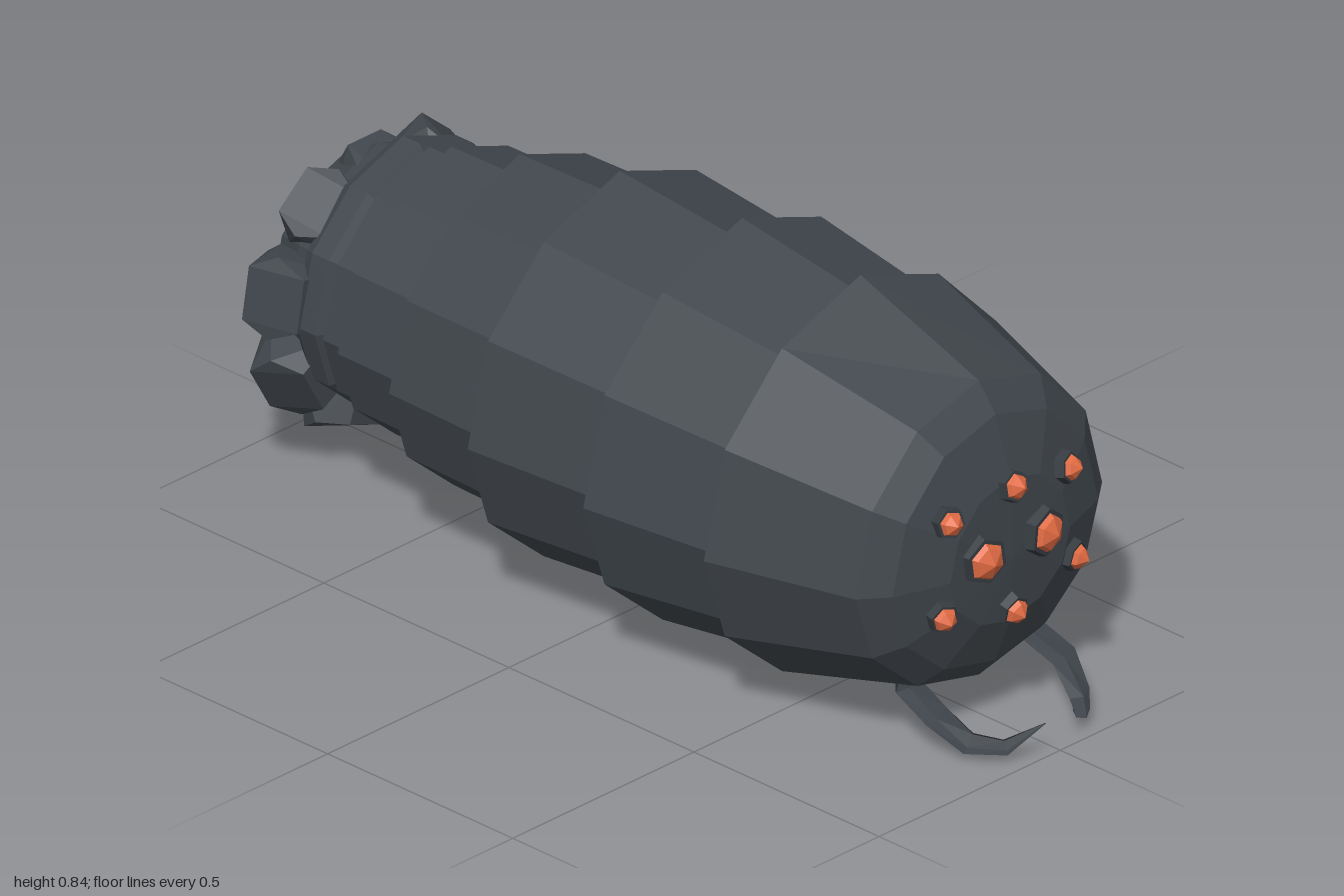
import * as THREE from 'three';
import { ConvexGeometry } from 'three/addons/geometries/ConvexGeometry.js';

const CY = 0.378; // height of the body axis

function makeMaterial(name, color) {
  const m = new THREE.MeshStandardMaterial({ color });
  m.name = name;
  return m;
}

function flat(geometry) {
  const g = geometry.index ? geometry.toNonIndexed() : geometry;
  g.computeVertexNormals();
  return g;
}

// Skin closed rings of points; each ring is an array of Vector3
function skin(rings) {
  const pos = [];
  const tri = (...pts) => pts.forEach((p) => pos.push(p.x, p.y, p.z));
  for (let i = 0; i < rings.length - 1; i++) {
    const n = rings[i].length;
    for (let k = 0; k < n; k++) {
      const j = (k + 1) % n;
      const [a, b, c, d] = [rings[i][k], rings[i + 1][k], rings[i + 1][j], rings[i][j]];
      if (b.distanceTo(c) > 1e-5) tri(a, b, c);
      if (a.distanceTo(d) > 1e-5) tri(a, c, d);
    }
  }
  const g = new THREE.BufferGeometry();
  g.setAttribute('position', new THREE.Float32BufferAttribute(pos, 3));
  g.computeVertexNormals();
  return g;
}

// Twelve-sided body section: raised back ridge, flattened belly
function bodyRing([x, r, ridge = 1.07]) {
  return Array.from({ length: 12 }, (_, k) => {
    const a = (k * Math.PI) / 6;
    const f = k === 3 ? ridge : k < 6 ? 1.025 : 0.858;
    return new THREE.Vector3(x, CY + r * Math.sin(a) * f, r * Math.cos(a));
  });
}

export function createModel() {
  const root = new THREE.Group();
  root.name = 'armouredGrub';
  const shell = makeMaterial('shell', 0x40464c);
  const socketMat = makeMaterial('socket', 0x353b40);
  const orange = makeMaterial('eyeOrange', 0xe06a42);

  const add = (name, geometry, material, parent = root) => {
    const m = new THREE.Mesh(geometry, material);
    m.name = name;
    parent.add(m);
    return m;
  };

  // Body plates, each starting with the step up from the plate behind it
  const plates = {
    tailDome: [[-1, 0], [-0.965, 0.14], [-0.92, 0.215], [-0.84, 0.255], [-0.79, 0.265]],
    rearCollar: [[-0.79, 0.255], [-0.8, 0.275], [-0.775, 0.29], [-0.73, 0.29], [-0.715, 0.27]],
    neckCollar: [[-0.715, 0.27], [-0.705, 0.292], [-0.66, 0.292], [-0.645, 0.28]],
    plateOne: [[-0.645, 0.28], [-0.645, 0.313], [-0.46, 0.315]],
    plateTwo: [[-0.46, 0.315], [-0.46, 0.361], [-0.19, 0.367]],
    plateThree: [[-0.19, 0.367], [-0.19, 0.42], [0.14, 0.392]],
    plateFour: [[0.14, 0.392], [0.14, 0.438], [0.46, 0.395]],
    headPlate: [[0.46, 0.395], [0.46, 0.432], [0.78, 0.34, 1.03]],
    face: [[0.78, 0.34, 1.03], [0.825, 0.284, 1.03], [0.865, 0.165, 1.03], [0.873, 0]],
  };
  for (const [name, profile] of Object.entries(plates)) {
    add(name, skin(profile.map(bodyRing)), shell);
  }

  // Nine stubby lobes around the tail, growing towards the belly
  const lobe = [ // x, radius, half width
    [-0.77, 0.29, 0.055], [-0.77, 0.2, 0.055], [-0.83, 0.305, 0.085], [-0.88, 0.33, 0.055],
    [-0.93, 0.225, 0.05], [-0.88, 0.245, 0.085], [-0.85, 0.18, 0.05],
  ];
  for (let i = 0; i < 9; i++) {
    const a = Math.PI / 2 + (i * Math.PI * 2) / 9;
    const up = Math.sin(a);
    const s = up > 0.9 ? 0.83 : up > 0.5 ? 0.93 : 1.01;
    const points = [];
    for (const [x, r, w] of lobe) {
      for (const side of [-1, 1]) {
        const t = side * w * s;
        points.push(new THREE.Vector3(
          x,
          CY - 0.005 + r * s * up + t * Math.cos(a),
          r * s * Math.cos(a) - t * up,
        ));
      }
    }
    add('tailLobe', flat(new ConvexGeometry(points)), shell);
  }

  // Eyes: a hexagonal socket with a faceted orange lens
  const eye = (y, z, r, x) => {
    const g = new THREE.Group();
    g.name = 'eye';
    g.position.set(x, y, z);
    const out = new THREE.Vector3(1, (y - 0.4) * 1.6, z * 1.6).normalize();
    g.quaternion.setFromUnitVectors(new THREE.Vector3(0, 1, 0), out);
    const hex = (top, bottom, h, base) =>
      flat(new THREE.CylinderGeometry(top, bottom, h, 6).rotateY(Math.PI / 6).translate(0, base + h / 2, 0));
    add('eyeSocket', hex(r * 0.86, r, 0.032, -0.015), socketMat, g);
    add('eyeLensBase', hex(r * 0.58, r * 0.74, 0.013, 0.014), orange, g);
    add('eyeLensTip', flat(new THREE.ConeGeometry(r * 0.58, 0.016, 6).rotateY(Math.PI / 6).translate(0, 0.035, 0)), orange, g);
    root.add(g);
  };
  eye(0.53, 0, 0.038, 0.864);
  eye(0.265, 0, 0.038, 0.864);
  for (const s of [-1, 1]) {
    eye(0.403, s * 0.082, 0.058, 0.869);
    eye(0.506, s * 0.161, 0.037, 0.852);
    eye(0.31, s * 0.178, 0.037, 0.852);
  }

  // Curved mandibles under the face: x, y, z, half thickness
  const spine = [
    [0.73, 0.125, 0.165, 0.001], [0.745, 0.12, 0.168, 0.028], [0.835, 0.085, 0.175, 0.028],
    [0.9, 0.038, 0.15, 0.024], [0.955, 0.032, 0.105, 0.017], [0.998, 0.075, 0.038, 0.001],
  ];
  for (const s of [1, -1]) {
    const centres = spine.map(([x, y, z]) => new THREE.Vector3(x, y, z * s));
    const rings = spine.map(([, , , r], i) => {
      const dir = centres[Math.min(i + 1, 5)].clone().sub(centres[Math.max(i - 1, 0)]).normalize();
      const u = new THREE.Vector3(0, 1, 0).addScaledVector(dir, -dir.y).normalize();
      const v = new THREE.Vector3().crossVectors(dir, u); // sideways axis
      return Array.from({ length: 5 }, (_, k) => {
        const a = (k * Math.PI * 2) / 5;
        return centres[i].clone().addScaledVector(u, r * Math.cos(a)).addScaledVector(v, r * Math.sin(a));
      });
    });
    add(s > 0 ? 'frontMandible' : 'backMandible', skin(rings), shell);
  }
  return root;
}
